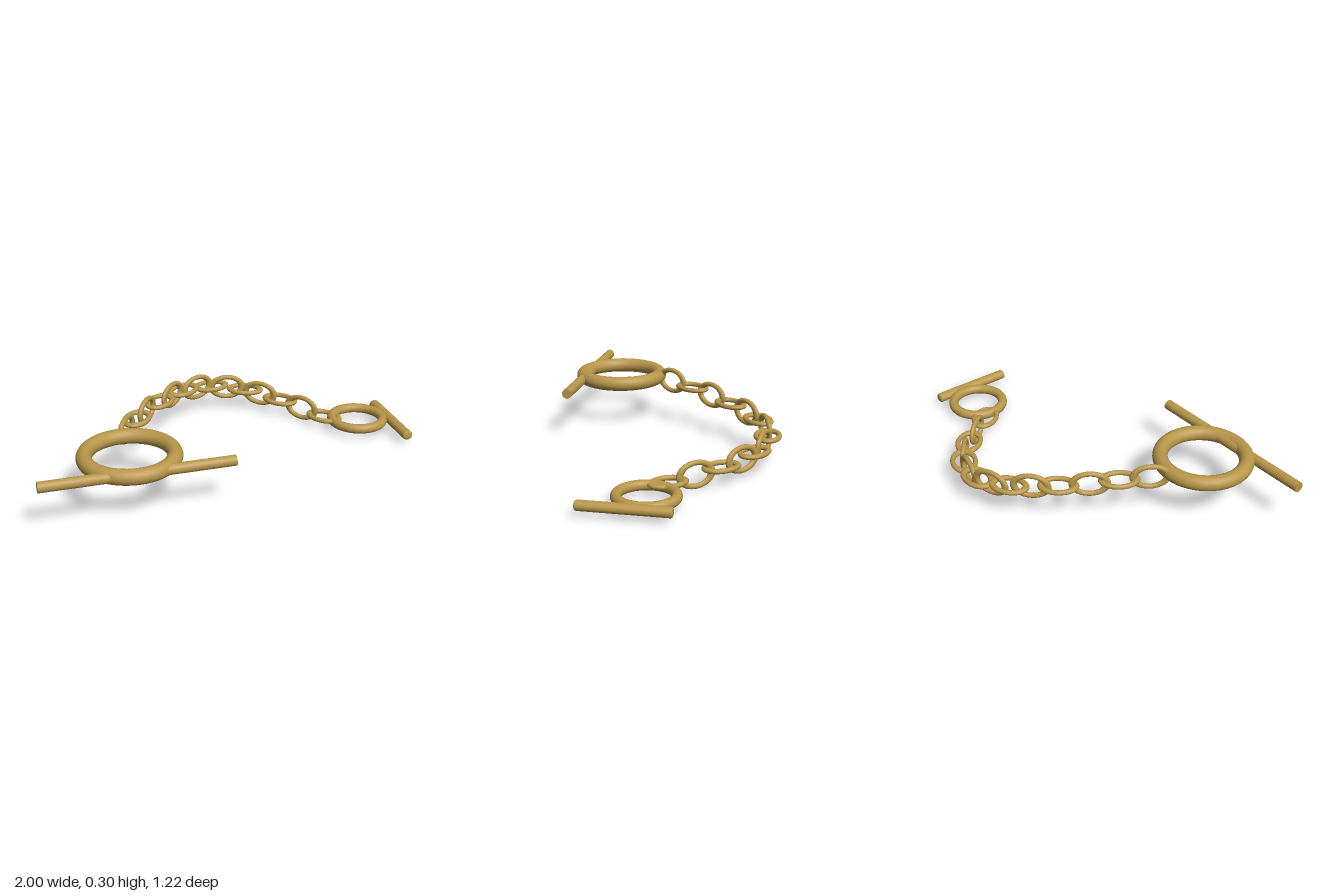
import * as THREE from 'three';

export function createModel() {
  const model = new THREE.Group();
  model.name = 'toggleChain';
  const brass = new THREE.MeshStandardMaterial({ color: 0xb8964a });
  brass.name = 'brass';

  const add = (name, geometry, x, y, z) => {
    const mesh = new THREE.Mesh(geometry, brass);
    mesh.name = name;
    mesh.position.set(x, y, z);
    model.add(mesh);
    return mesh;
  };

  // Rings lying flat
  const ring = (outer, tube) =>
    new THREE.TorusGeometry(outer - tube, tube, 24, 72).rotateX(Math.PI / 2);
  add('largeRing', ring(0.25, 0.038), -0.545, 0.238, 0.355);
  add('smallRing', ring(0.161, 0.025), 0.8, 0.054, -0.084);

  // Long straight toggle bar through the large ring
  const longBar = new THREE.CylinderGeometry(0.026, 0.026, 0.915, 32).rotateZ(Math.PI / 2);
  add('longBar', longBar, -0.5425, 0.238, 0.54);

  // Short toggle bar with softened ends, slightly flattened
  const half = 0.217, r = 0.028, b = 0.01;
  const profile = [
    [0, -half], [r - b, -half], [r - b * 0.3, -half + b * 0.3], [r, -half + b],
    [r, half - b], [r - b * 0.3, half - b * 0.3], [r - b, half], [0, half],
  ].map(([px, py]) => new THREE.Vector2(px, py));
  const shortBar = new THREE.LatheGeometry(profile, 32).rotateX(Math.PI / 2).scale(1, 0.87, 1);
  add('shortBar', shortBar, 0.967, 0.054, -0.02);

  // Link centres along the chain: upright and flat links alternate
  const centres = [
    [-0.497, 0.23, 0.055], [-0.414, 0.22, -0.072], [-0.337, 0.205, -0.19],
    [-0.24, 0.191, -0.307], [-0.147, 0.179, -0.403], [-0.067, 0.167, -0.473],
    [0.024, 0.154, -0.52], [0.11, 0.141, -0.542], [0.2, 0.129, -0.533],
    [0.296, 0.116, -0.5], [0.368, 0.103, -0.451], [0.457, 0.089, -0.366],
    [0.545, 0.075, -0.26], [0.633, 0.06, -0.147],
  ];
  const upright = new THREE.TorusGeometry(0.0575, 0.0125, 16, 48).scale(1.46, 1, 1);
  const flat = upright.clone().rotateX(Math.PI / 2);
  centres.forEach(([x, y, z], i) => {
    const before = centres[Math.max(i - 1, 0)];
    const after = centres[Math.min(i + 1, centres.length - 1)];
    const link = add('chainLink' + (i + 1), i % 2 ? flat : upright, x, y, z);
    link.rotation.y = Math.atan2(before[2] - after[2], after[0] - before[0]);
  });

  return model;
}
